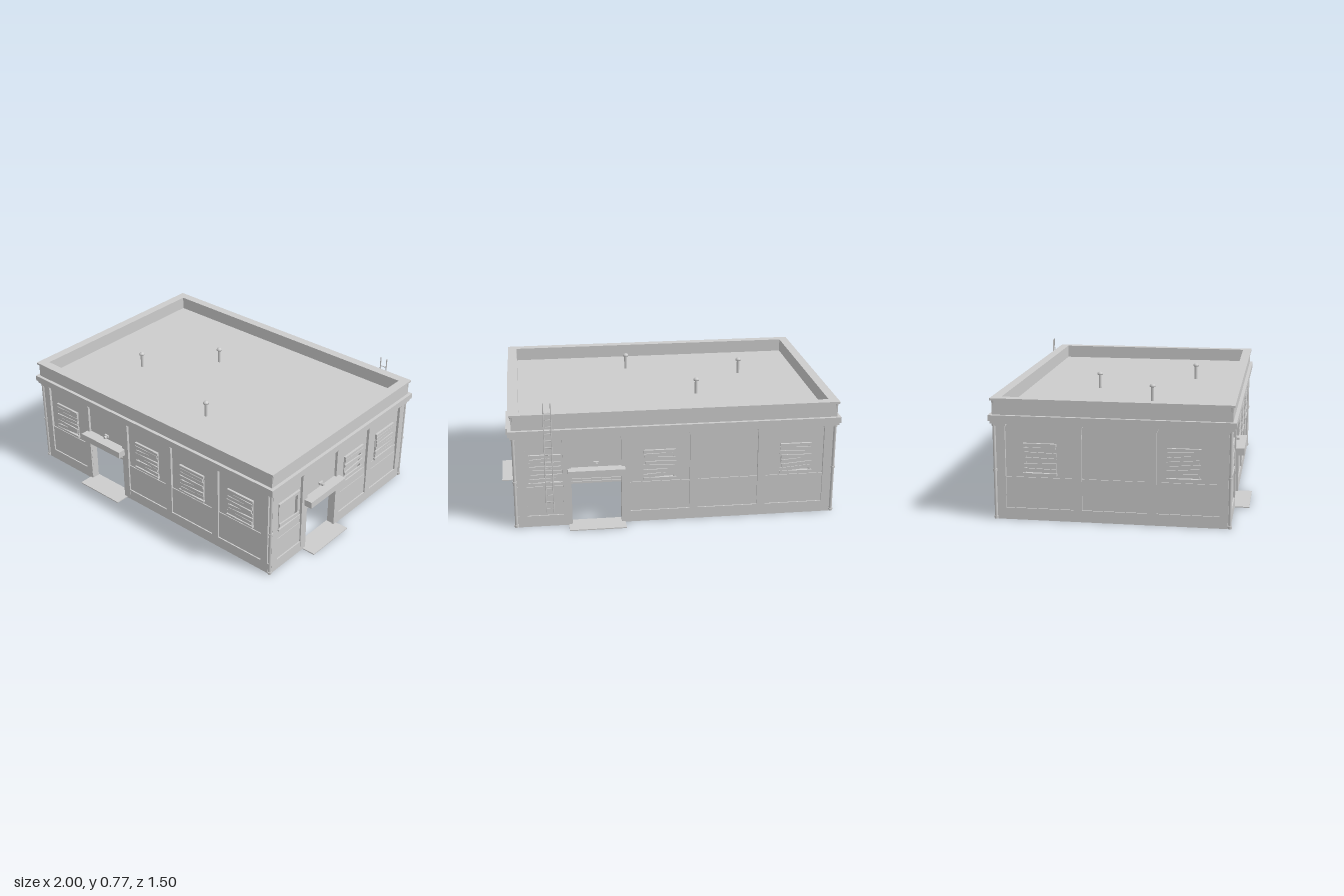
import * as THREE from 'three';

const concrete = new THREE.MeshStandardMaterial({ color: 0xcccccc });
concrete.name = 'concrete grey';

// Outer wall planes
const L = -0.96, R = 0.895, F = 0.645, B = -0.655;
const DOOR_W = 0.29, DOOR_H = 0.315, WIN_W = 0.17;

let seed = 7;
const rnd = () => (seed = (seed * 16807) % 2147483647) / 2147483647;

function add(parent, name, geo, x = 0, y = 0, z = 0) {
  const m = new THREE.Mesh(geo, concrete);
  m.name = name;
  m.position.set(x, y, z);
  parent.add(m);
  return m;
}

// Box given by its limits on each axis
function box(parent, name, x0, x1, y0, y1, z0, z1) {
  return add(parent, name, new THREE.BoxGeometry(x1 - x0, y1 - y0, z1 - z0),
    (x0 + x1) / 2, (y0 + y1) / 2, (z0 + z1) / 2);
}

function rod(parent, name, r0, r1, y0, y1, x, z, sides = 10) {
  return add(parent, name, new THREE.CylinderGeometry(r1, r0, y1 - y0, sides), x, (y0 + y1) / 2, z);
}

function rectPath(path, x0, x1, y0, y1) {
  path.moveTo(x0, y0);
  path.lineTo(x1, y0);
  path.lineTo(x1, y1);
  path.lineTo(x0, y1);
  path.closePath();
  return path;
}

// Rectangular ring around the building, grown by out and hollowed by inn
function ring(parent, name, out, inn, y0, y1) {
  const s = rectPath(new THREE.Shape(), L - out, R + out, -F - out, -B + out);
  s.holes.push(rectPath(new THREE.Path(), L + inn, R - inn, -F + inn, -B - inn));
  const geo = new THREE.ExtrudeGeometry(s, { depth: y1 - y0, bevelEnabled: false });
  geo.rotateX(-Math.PI / 2);
  add(parent, name, geo, 0, y0, 0);
}

// Wall sheet with a doorway notch and optional window holes
function wallSheet(parent, name, u0, u1, door, windows, depth, z) {
  const s = new THREE.Shape();
  s.moveTo(u0, 0);
  if (door !== null) {
    s.lineTo(door - DOOR_W / 2, 0);
    s.lineTo(door - DOOR_W / 2, DOOR_H);
    s.lineTo(door + DOOR_W / 2, DOOR_H);
    s.lineTo(door + DOOR_W / 2, 0);
  }
  s.lineTo(u1, 0);
  s.lineTo(u1, 0.59);
  s.lineTo(u0, 0.59);
  s.closePath();
  for (const w of windows) s.holes.push(rectPath(new THREE.Path(), w - WIN_W / 2, w + WIN_W / 2, 0.27, 0.435));
  add(parent, name, new THREE.ExtrudeGeometry(s, { depth, bevelEnabled: false }), 0, 0, z);
}

function boardedWindow(parent, u, boards) {
  const g = new THREE.Group();
  g.name = 'boardedWindow';
  g.position.x = u;
  parent.add(g);
  box(g, 'sill', -0.097, 0.097, 0.262, 0.275, -0.005, 0.016);
  box(g, 'lintel', -0.094, 0.094, 0.428, 0.446, -0.005, 0.014);
  for (const s of [-1, 1]) box(g, 'frameSide', s * 0.086 - 0.006, s * 0.086 + 0.006, 0.275, 0.428, -0.01, 0.006);
  // Crooked planks
  for (let i = 0; i < boards; i++) {
    const y = boards === 1 ? 0.29 : 0.29 + i * 0.125 / (boards - 1);
    const m = add(g, 'plank', new THREE.BoxGeometry(0.182, 0.021, 0.008), (rnd() - 0.5) * 0.012, y, 0.008 + 0.002 * (i % 2));
    m.rotation.z = (rnd() - 0.4) * 0.16;
  }
}

function doorway(parent, u) {
  const g = new THREE.Group();
  g.name = 'doorway';
  g.position.x = u;
  parent.add(g);
  box(g, 'canopy', -0.166, 0.166, 0.316, 0.357, 0, 0.064);
  // Rolled-up shutter
  for (let i = 0; i < 4; i++) {
    const y = 0.252 + i * 0.016;
    box(g, 'shutterSlat', -0.145, 0.145, y, y + 0.013, -0.018, -0.006);
  }
  box(g, 'shutterBacking', -0.145, 0.145, 0.252, 0.316, -0.03, -0.014);
  box(g, 'threshold', -0.166, 0.166, 0, 0.006, -0.04, 0.1);
  // Lamp over the door
  box(g, 'lampBase', -0.015, 0.015, 0.375, 0.39, 0, 0.012);
  const lamp = rod(g, 'lamp', 0.009, 0.009, 0.37, 0.386, 0, 0.018, 12);
  lamp.rotation.x = Math.PI / 2;
}

// One facade in local space: u runs right, z points outward, wall plane at z = 0
function facade(parent, o) {
  const g = new THREE.Group();
  g.name = o.name;
  g.position.set(o.x || 0, 0, o.z || 0);
  g.rotation.y = o.turn;
  parent.add(g);
  const [u0, u1] = o.span;
  wallSheet(g, 'wallSkin', u0, u1, o.door, o.windows, 0.015, -0.015);
  wallSheet(g, 'innerWall', u0 + 0.015, u1 - 0.015, o.door, [], 0.02, -0.035);

  // Plinth and dado, broken at the door
  const runs = o.door === null ? [[u0, u1]]
    : [[u0, o.door - DOOR_W / 2], [o.door + DOOR_W / 2, u1]];
  for (const [a, b] of runs) {
    box(g, 'plinth', a, b, 0, 0.068, 0, 0.014);
    box(g, 'dado', a, b, 0.068, o.dado, 0, 0.006);
    if (o.dado < 0.24) box(g, 'dadoBand', a, b, o.dado, 0.257, 0, 0.003);
  }
  for (const u of o.pilasters) {
    const byDoor = o.door !== null && Math.abs(u - o.door) < 0.2;
    box(g, 'pilaster', u - 0.024, u + 0.024, byDoor ? 0 : 0.066, 0.555, 0, 0.0155);
    box(g, 'capitalNeck', u - 0.027, u + 0.027, 0.536, 0.546, 0, 0.02);
    box(g, 'capital', u - 0.031, u + 0.031, 0.545, 0.557, 0, 0.026);
  }
  o.windows.forEach((w, i) => boardedWindow(g, w, o.boards[i]));
  if (o.door !== null) doorway(g, o.door);
}

function ladder(parent) {
  const g = new THREE.Group();
  g.name = 'ladder';
  parent.add(g);
  for (const x of [0.688, 0.731]) {
    rod(g, 'ladderRail', 0.0035, 0.0035, 0.1, 0.772, x, -0.698, 6);
    for (const y of [0.16, 0.36, 0.52]) box(g, 'ladderBracket', x - 0.002, x + 0.002, y, y + 0.006, -0.698, B);
  }
  for (let i = 0; i < 15; i++) {
    const rung = rod(g, 'ladderRung', 0.0025, 0.0025, 0, 0.043, 0.7095, -0.698, 6);
    rung.position.y = 0.125 + i * 0.042;
    rung.rotation.z = Math.PI / 2;
  }
}

export function createModel() {
  const model = new THREE.Group();
  model.name = 'building';

  const sides = [
    { name: 'frontFacade', z: F, turn: 0, span: [L, R], door: -0.405, dado: 0.248,
      pilasters: [-0.934, -0.575, -0.235, 0.126, 0.495, 0.864],
      windows: [-0.757, -0.055, 0.31, 0.68], boards: [6, 6, 6, 6] },
    { name: 'rightFacade', x: R, turn: Math.PI / 2, span: [-F, -B], door: -0.187, dado: 0.206,
      pilasters: [-0.622, -0.352, -0.022, 0.3, 0.634],
      windows: [-0.488, 0.137, 0.463], boards: [1, 4, 6] },
    { name: 'backFacade', z: B, turn: Math.PI, span: [-R, -L], door: -0.435, dado: 0.248,
      pilasters: [-0.865, -0.605, -0.265, 0.137, 0.54, 0.934],
      windows: [-0.73, -0.065, 0.745], boards: [6, 6, 6] },
    { name: 'leftFacade', x: L, turn: -Math.PI / 2, span: [B, F], door: null, dado: 0.248,
      pilasters: [-0.63, -0.195, 0.225, 0.622],
      windows: [-0.41, 0.4], boards: [5, 6] },
  ];
  sides.forEach((o) => facade(model, o));

  // Cornice, parapet and roof
  ring(model, 'corniceStep', 0.032, 0.02, 0.556, 0.572);
  ring(model, 'cornice', 0.04, 0.02, 0.572, 0.606);
  ring(model, 'parapet', 0.02, 0.026, 0.606, 0.69);
  ring(model, 'parapetCap', 0.03, 0.026, 0.688, 0.7);
  box(model, 'roof', L + 0.01, R - 0.01, 0.588, 0.62, B + 0.01, F - 0.01);

  // Corner downpipes with collars and parapet brackets
  for (const x of [L - 0.012, R + 0.012]) for (const z of [B - 0.012, F + 0.012]) {
    rod(model, 'downpipe', 0.009, 0.009, 0, 0.556, x, z);
    for (const y of [0.005, 0.28, 0.542]) rod(model, 'pipeCollar', 0.013, 0.013, y, y + 0.012, x, z);
    rod(model, 'cornerBracket', 0.006, 0.014, 0.64, 0.69, x, z, 4);
  }

  // Roof vents with mushroom caps
  for (const [x, z] of [[-0.22, -0.2], [-0.555, 0.17], [0.16, 0.355]]) {
    rod(model, 'ventPipe', 0.009, 0.009, 0.615, 0.708, x, z, 12);
    const cap = add(model, 'ventCap', new THREE.LatheGeometry([
      [0, 0.704], [0.017, 0.704], [0.018, 0.711], [0.012, 0.719], [0, 0.722],
    ].map(([r, y]) => new THREE.Vector2(r, y)), 14));
    cap.position.set(x, 0, z);
  }

  ladder(model);
  return model;
}
